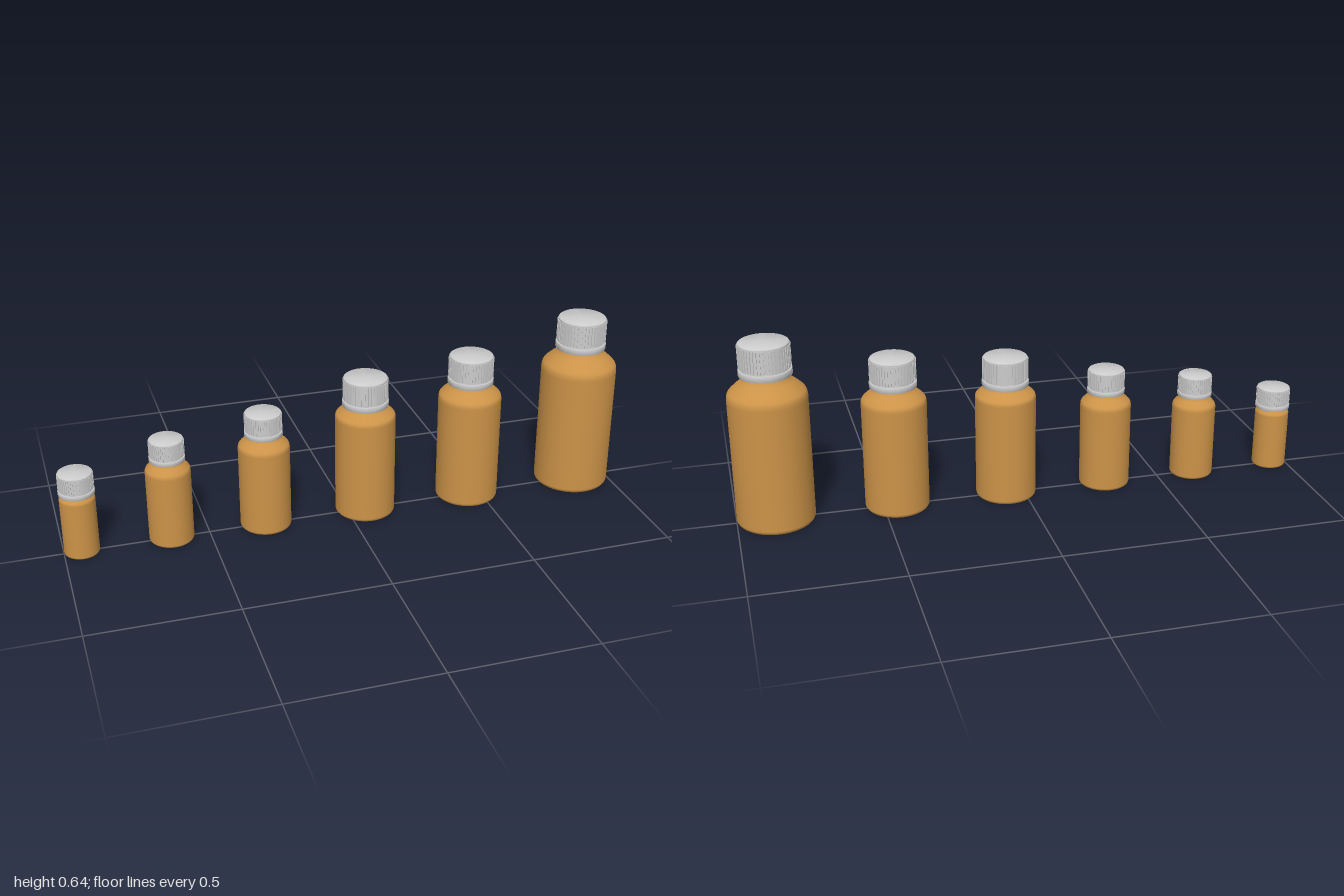
import * as THREE from 'three';
import { mergeGeometries, toCreasedNormals } from 'three/addons/utils/BufferGeometryUtils.js';

const amber = new THREE.MeshStandardMaterial({ color: 0xcc9348 });
const grey = new THREE.MeshStandardMaterial({ color: 0xcccccc });

const lathe = (pts) =>
  new THREE.LatheGeometry(pts.map(([r, y]) => new THREE.Vector2(r, y)), 64);

function addMesh(parent, name, geometry, material) {
  const mesh = new THREE.Mesh(geometry, material);
  mesh.name = name;
  parent.add(mesh);
}

// Straight body with a rounded foot, S-shaped shoulder and short neck
function bottleGeometry(radius, shoulderY, neckR, neckY, footR) {
  const pts = [[0, 0], [radius - footR - 0.004, 0]];
  for (let i = 0; i <= 6; i++) {
    const a = (i / 6) * Math.PI / 2;
    pts.push([radius - footR + footR * Math.sin(a), footR - footR * Math.cos(a)]);
  }
  pts.push([radius, shoulderY - 0.01]);
  const curve = new THREE.SplineCurve(
    [[1, 0], [0.92, 0.24], [0.58, 0.51], [0.18, 0.78], [0, 1]].map(([f, t]) =>
      new THREE.Vector2(neckR + (radius - neckR) * f, shoulderY + (neckY - shoulderY) * t)));
  curve.getPoints(16).forEach((p) => pts.push([p.x, p.y]));
  pts.push([neckR, neckY + 0.015]);
  return lathe(pts);
}

// Cap shell: smooth wall with a softly rounded top edge
function capGeometry() {
  return toCreasedNormals(lathe([
    [0, 0.028], [0.084, 0.028], [0.084, 0.104], [0.0845, 0.107],
    [0.083, 0.111], [0.080, 0.113], [0, 0.1135],
  ]), 0.7);
}

// Vertical grip ribs around the cap
function ribGeometry() {
  const ribs = [];
  const count = 48;
  for (let i = 0; i < count; i++) {
    const rib = new THREE.BoxGeometry(0.006, 0.076, 0.006);
    rib.translate(0, 0.066, 0.084);
    rib.rotateY((i / count) * Math.PI * 2);
    ribs.push(rib);
  }
  return mergeGeometries(ribs);
}

// Tamper band with a narrow collar joining it to the cap
function bandGeometry() {
  return toCreasedNormals(lathe([
    [0.06, 0], [0.0875, 0], [0.0885, 0.002], [0.0885, 0.020],
    [0.0875, 0.022], [0.081, 0.022], [0.081, 0.030],
  ]), 0.9);
}

export function createModel() {
  const group = new THREE.Group();
  group.name = 'bottleSet';
  const capGeo = capGeometry();
  const ribGeo = ribGeometry();
  const bandGeo = bandGeometry();

  // centre x, body radius, shoulder height, band height, cap scale
  const sizes = [
    [-0.939, 0.060, 0.205, 0.226, 0.69],
    [-0.632, 0.077, 0.262, 0.304, 0.69],
    [-0.299, 0.089, 0.302, 0.349, 0.745],
    [0.064, 0.105, 0.368, 0.412, 0.91],
    [0.451, 0.111, 0.388, 0.445, 0.91],
    [0.867, 0.133, 0.450, 0.528, 1],
  ];
  sizes.forEach(([x, radius, shoulderY, bandY, s], i) => {
    const bottle = new THREE.Group();
    bottle.name = `bottle${i + 1}`;
    bottle.position.x = x;
    addMesh(bottle, 'body', bottleGeometry(radius, shoulderY, 0.071 * s, bandY, radius * 0.13), amber);

    const cap = new THREE.Group();
    cap.name = 'cap';
    cap.position.y = bandY;
    cap.scale.setScalar(s);
    addMesh(cap, 'capShell', capGeo, grey);
    addMesh(cap, 'gripRibs', ribGeo, grey);
    addMesh(cap, 'tamperBand', bandGeo, grey);
    bottle.add(cap);
    group.add(bottle);
  });
  return group;
}
